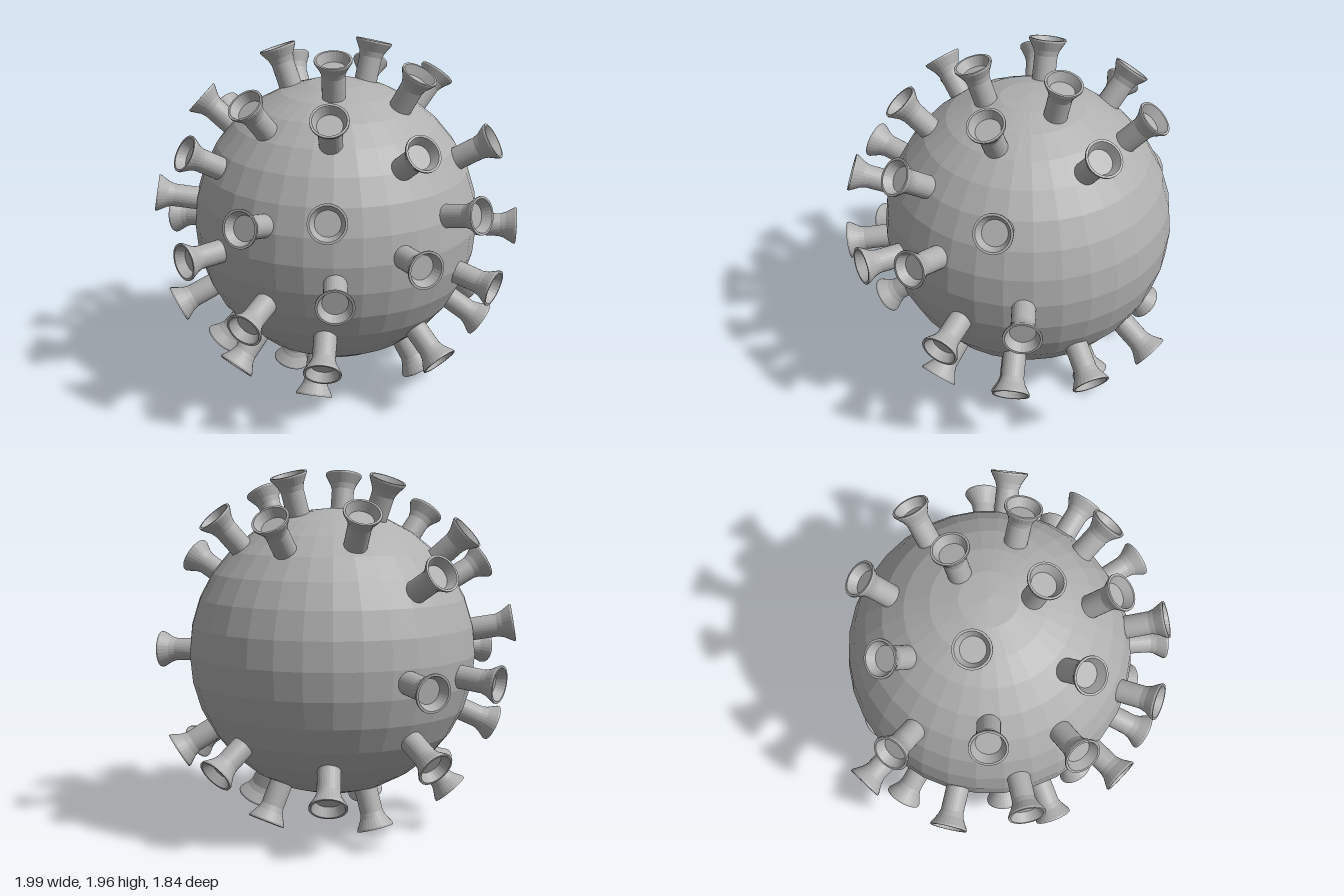
import * as THREE from 'three';

// Outward direction of every spike, measured from the centre of the body
const SPIKES = [
  // front
  [-0.10, 0.235, 0.967], [0.34, 0.30, 0.89], [-0.476, -0.032, 0.88],
  [0.39, -0.125, 0.91], [-0.104, -0.326, 0.94], [0.765, 0.035, 0.64],
  [0.26, -0.578, 0.774], [-0.324, -0.711, 0.62], [0.06, -0.89, 0.44],
  [-0.69, -0.42, 0.57], [-0.57, 0.48, 0.66],
  // top
  [-0.245, 0.76, 0.60], [0.237, 0.74, 0.63], [0.67, 0.574, 0.46],
  [-0.71, 0.66, 0.21], [0.10, 0.957, 0.27], [-0.34, 0.938, 0.02],
  [0.493, 0.868, 0.04], [-0.067, 0.74, -0.66], [0.39, 0.748, -0.54],
  [-0.46, 0.78, -0.42], [0.126, 0.964, -0.235],
  // sides
  [-0.864, 0.166, 0.46], [-0.985, -0.107, 0.06], [-0.825, 0.48, -0.267],
  [-0.89, -0.09, -0.45], [-0.81, -0.51, -0.28], [0.925, 0.227, 0.28],
  [0.84, 0.497, -0.135], [0.945, -0.024, -0.325], [0.966, -0.228, 0.12],
  // underside and back
  [-0.60, -0.75, 0.26], [0.715, -0.645, 0.25], [0.797, -0.568, -0.204],
  [0.484, -0.872, -0.073], [0.61, -0.526, -0.586], [-0.30, -0.95, -0.03],
  [0.14, -0.887, -0.435], [0.20, -0.573, -0.79], [-0.37, -0.71, -0.60],
];

export function createModel() {
  const model = new THREE.Group();
  model.name = 'spikedSphere';
  const grey = new THREE.MeshStandardMaterial({ color: 0xb0b0b0 });
  grey.name = 'grey';

  const sphere = new THREE.Group();
  sphere.name = 'virusBody';
  sphere.position.set(0, 0.985, -0.07);
  model.add(sphere);

  // Faceted body: split vertices give one normal per facet
  const bodyGeometry = new THREE.SphereGeometry(0.78, 32, 16).toNonIndexed();
  bodyGeometry.computeVertexNormals();
  const body = new THREE.Mesh(bodyGeometry, grey);
  body.name = 'body';
  sphere.add(body);

  // Spike: straight stem, flared cup with a thin lip and a flat recessed floor
  const profile = [
    [0.062, 0.72], [0.062, 0.905], [0.071, 0.935], [0.1, 0.985],
    [0.1, 0.995], [0.088, 0.995], [0.066, 0.945], [0, 0.945],
  ].map(([r, y]) => new THREE.Vector2(r, y));
  const spikeGeometry = new THREE.LatheGeometry(profile, 28).toNonIndexed();
  spikeGeometry.computeVertexNormals();

  const up = new THREE.Vector3(0, 1, 0);
  SPIKES.forEach((d, i) => {
    const spike = new THREE.Mesh(spikeGeometry, grey);
    spike.name = `spike${i + 1}`;
    spike.quaternion.setFromUnitVectors(up, new THREE.Vector3(...d).normalize());
    sphere.add(spike);
  });

  return model;
}
